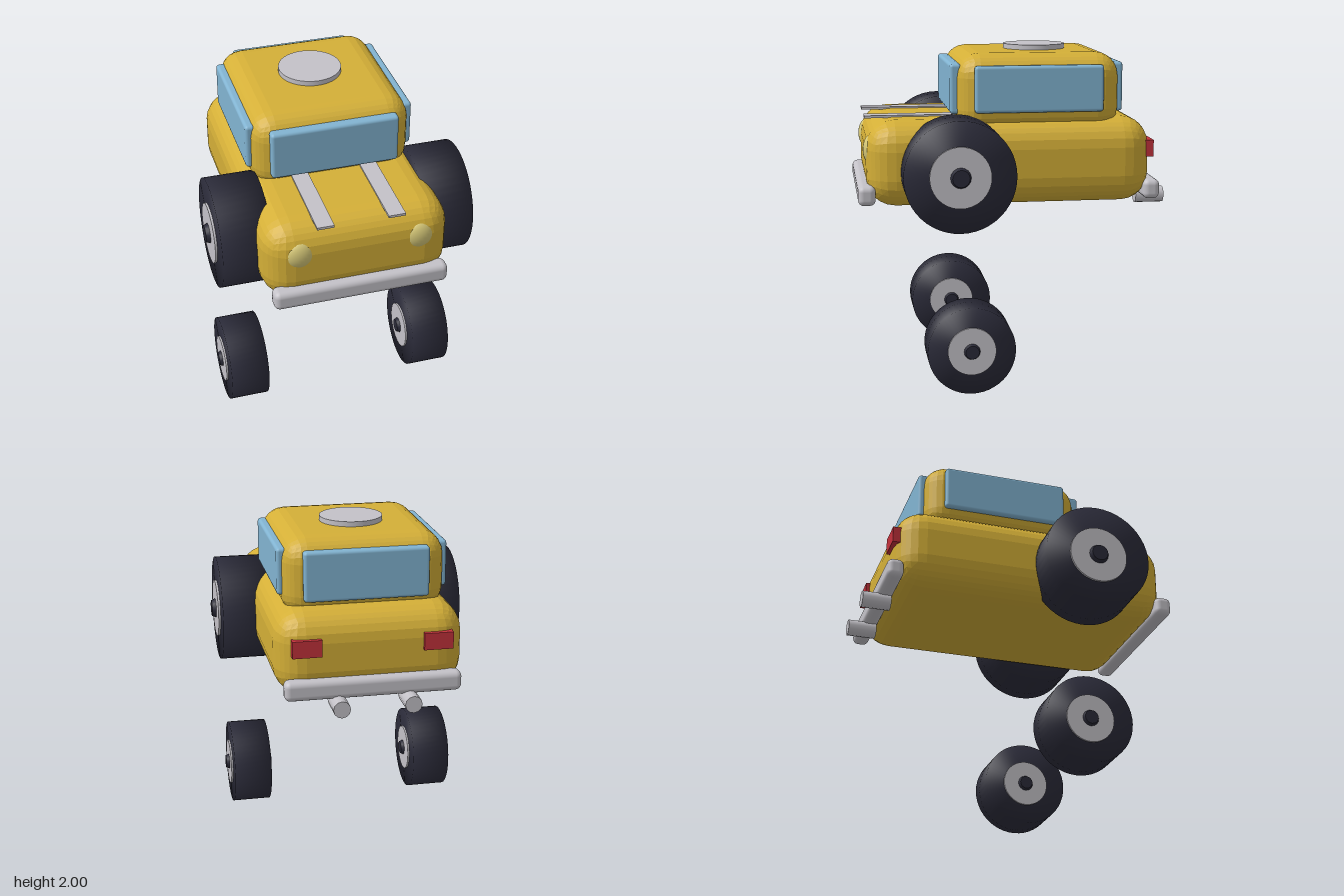
import * as THREE from 'three';
import { RoundedBoxGeometry } from 'three/addons/geometries/RoundedBoxGeometry.js';

const mat = (name, color, flatShading = false) => {
  const m = new THREE.MeshStandardMaterial({ color, flatShading });
  m.name = name;
  return m;
};

export function createModel() {
  const paint = mat('yellow paint', 0xd4af37, true);
  const glass = mat('blue glass', 0x82b4d2);
  const rubber = mat('dark rubber', 0x2a2a38);
  const metal = mat('pale metal', 0xc4c2c8);
  const lampRed = mat('red lamp', 0xc4323c);
  const lampYellow = mat('pale yellow lamp', 0xd6c878);

  const car = new THREE.Group();
  car.name = 'car';

  const add = (name, geometry, material, x, y, z, parent = car) => {
    const mesh = new THREE.Mesh(geometry, material);
    mesh.name = name;
    mesh.position.set(x, y, z);
    parent.add(mesh);
    return mesh;
  };
  // Rounded box given by its extents on each axis
  const block = (name, [x0, x1], [y0, y1], [z0, z1], radius, segments, material) =>
    add(name, new RoundedBoxGeometry(x1 - x0, y1 - y0, z1 - z0, segments, radius), material,
      (x0 + x1) / 2, (y0 + y1) / 2, (z0 + z1) / 2);

  // Body and cabin
  block('body', [-0.55, 0.55], [1.08, 1.59], [-0.8, 0.89], 0.17, 3, paint);
  block('cabin', [-0.475, 0.475], [1.5, 1.97], [-0.62, 0.355], 0.14, 3, paint);

  // Windows
  block('windscreen', [-0.38, 0.38], [1.615, 1.91], [0.32, 0.39], 0.02, 2, glass);
  block('rearWindow', [-0.365, 0.365], [1.615, 1.91], [-0.65, -0.58], 0.02, 2, glass);
  block('leftWindow', [0.44, 0.5], [1.63, 1.905], [-0.51, 0.255], 0.02, 2, glass);
  block('rightWindow', [-0.5, -0.44], [1.63, 1.905], [-0.51, 0.255], 0.02, 2, glass);

  // Bumpers
  block('frontBumper', [-0.515, 0.515], [1.1, 1.217], [0.84, 0.943], 0.035, 3, metal);
  block('rearBumper', [-0.515, 0.515], [1.1, 1.217], [-0.855, -0.755], 0.035, 3, metal);

  // Plain disc on the roof
  add('roofDisc', new THREE.CylinderGeometry(0.187, 0.187, 0.04, 48), metal, 0, 1.98, -0.168);

  // Wheel: smooth tyre with a hub and cap on both sides, axis along x
  const tyre = new THREE.LatheGeometry(
    [[0, -0.147], [0.325, -0.147], [0.325, 0.147], [0, 0.147]]
      .map(([r, h]) => new THREE.Vector2(r, h)), 48);
  const hub = new THREE.CylinderGeometry(0.178, 0.178, 0.32, 40);
  const cap = new THREE.CylinderGeometry(0.05, 0.06, 0.025, 16);
  const addWheel = (name, x, y, z, scale) => {
    const wheel = new THREE.Group();
    wheel.name = name;
    add('tyre', tyre, rubber, 0, 0, 0, wheel);
    add('hub', hub, metal, 0, 0, 0, wheel);
    for (const s of [-1, 1]) {
      const c = add('hubCap', cap, rubber, 0, s * 0.1725, 0, wheel);
      if (s < 0) c.rotation.x = Math.PI;
    }
    wheel.position.set(x, y, z);
    wheel.rotation.z = Math.PI / 2;
    wheel.scale.setScalar(scale);
    car.add(wheel);
  };

  // Mirrored details
  for (const [side, s] of [['left', 1], ['right', -1]]) {
    addWheel(side + 'UpperWheel', s * 0.604, 1.3, 0.37, 1);
    addWheel(side + 'LowerWheel', s * 0.588, 0.26, 0.305, 0.8);

    const lamp = add(side + 'Headlight', new THREE.SphereGeometry(0.088, 24, 16),
      lampYellow, s * 0.35, 1.412, 0.855);
    lamp.scale.z = 0.57;
    add(side + 'TailLight', new THREE.BoxGeometry(0.17, 0.1, 0.05), lampRed, s * 0.38, 1.4, -0.797);
    add(side + 'BonnetStripe', new THREE.BoxGeometry(0.1, 0.015, 0.56), metal, s * 0.207, 1.592, 0.61);

    const pipe = add(side + 'Exhaust', new THREE.CylinderGeometry(0.05, 0.05, 0.175, 12),
      metal, s * 0.207, 1.073, -0.857);
    pipe.rotation.x = Math.PI / 2;
  }
  return car;
}
